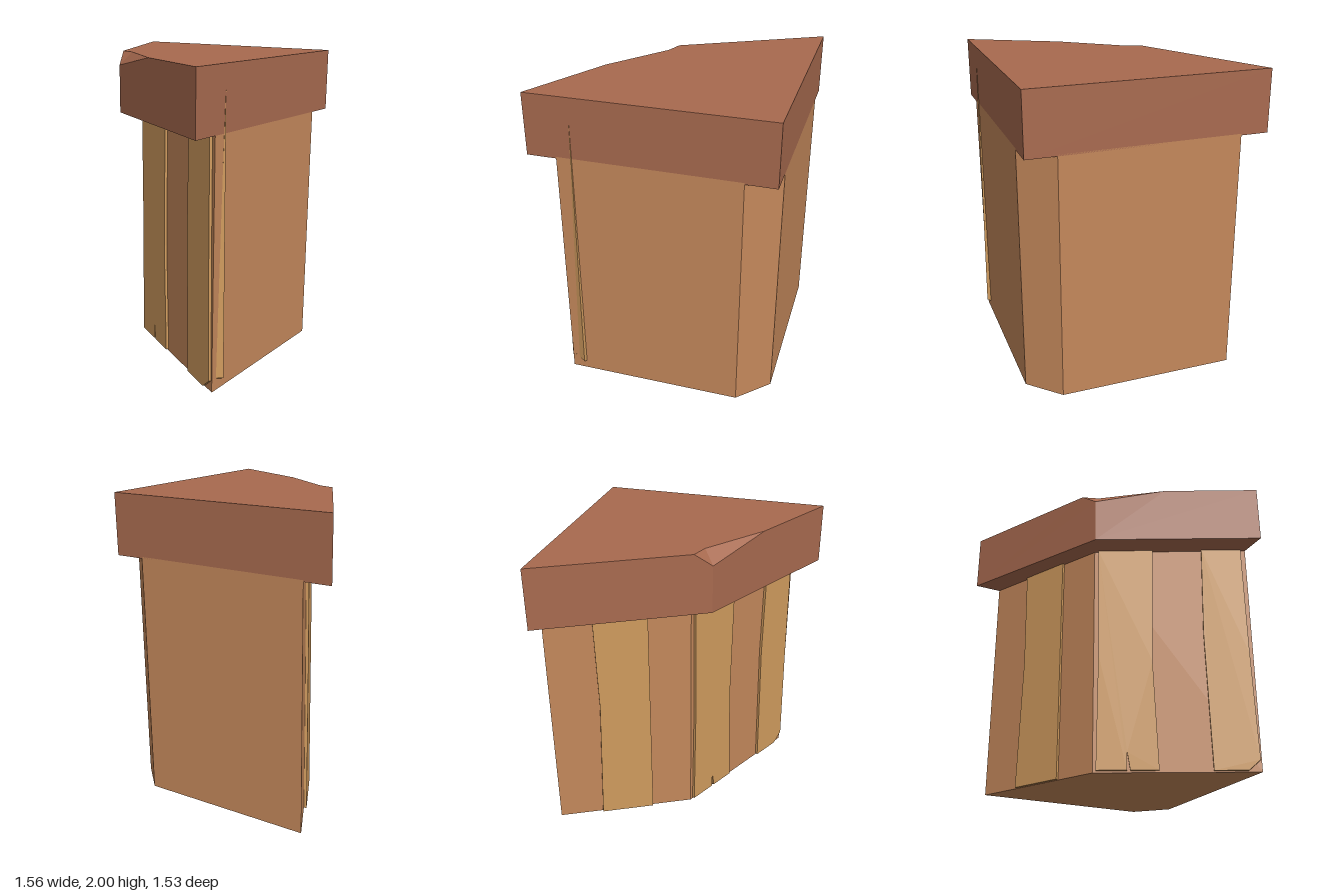
import * as THREE from 'three';
import { ConvexGeometry } from 'three/addons/geometries/ConvexGeometry.js';

const mat = (name, color) => {
  const m = new THREE.MeshStandardMaterial({ color });
  m.name = name;
  return m;
};

export function createModel() {
  const brown = mat('brownWood', 0xc4885b);
  const ochre = mat('ochreWood', 0xd09b5e);
  const red = mat('redWood', 0xa86a4f);
  const group = new THREE.Group();

  const add = (name, geometry, material) => {
    const mesh = new THREE.Mesh(geometry, material);
    mesh.name = name;
    group.add(mesh);
    return mesh;
  };
  const toShape = (pts) => new THREE.Shape(pts.map(([x, y]) => new THREE.Vector2(x, y)));

  // Post: plan outline as [x, z], raised to the cap
  const leftEnd = [-0.6, -0.77], corner = [-0.185, 0.08], rightEnd = [0.755, 0.575];
  const plan = [leftEnd, corner, rightEnd, [0.755, -0.575], [0.56, -0.77]];
  const post = new THREE.ExtrudeGeometry(toShape(plan.map(([x, z]) => [x, -z])),
    { depth: 1.61, bevelEnabled: false });
  post.rotateX(-Math.PI / 2);
  add('post', post, brown);

  // Boards: outlines as [x, y], laid on the slanted face running from a to b
  const proud = 0.018;
  const board = (name, a, b, outline) => {
    const angle = Math.atan2(b[1] - a[1], b[0] - a[0]);
    const along = (x) => (x - a[0] + Math.sin(angle) * proud) / Math.cos(angle);
    const g = new THREE.ExtrudeGeometry(toShape(outline.map(([x, y]) => [along(x), y])),
      { depth: proud + 0.02, bevelEnabled: false });
    g.translate(0, 0, -0.02);
    const mesh = add(name, g, ochre);
    mesh.rotation.y = -angle;
    mesh.position.set(a[0], 0, a[1]);
  };
  board('sideBoard', leftEnd, corner,
    [[-0.485, 0.003], [-0.325, 0.003], [-0.325, 1.605], [-0.48, 1.605], [-0.473, 0.9]]);
  board('middleBoard', corner, rightEnd, [
    [-0.175, 0.012], [-0.002, 0.012], [0, 0.13], [0.017, 0.012], [0.178, 0.012],
    [0.153, 0.75], [0.168, 1.605], [-0.17, 1.605], [-0.165, 0.8]]);
  board('outerBoard', corner, rightEnd, [
    [0.478, 0.008], [0.67, 0.008], [0.738, 0.075], [0.724, 0.8], [0.717, 1.605],
    [0.473, 1.605], [0.46, 0.95]]);

  // Splinter of wood standing out of the right side
  const splinter = [[0.745, 0.05, 0.475], [0.78, 0.07, 0.485], [0.75, 0.08, 0.54],
    [0.765, 0.9, 0.478], [0.75, 0.7, 0.507], [0.757, 1.85, 0.475], [0.745, 1.85, 0.475]];
  add('splinter', new ConvexGeometry(splinter.map((p) => new THREE.Vector3(...p))), ochre);

  // Cap: wedge-shaped slab with a chip out of its front corner
  const p = [
    [-0.78, 1.6, -0.77], [0.755, 1.6, -0.77], [0.755, 1.6, 0.765], [-0.255, 1.6, 0.235],
    [-0.78, 2, -0.77], [0.755, 2, -0.77], [0.755, 2, 0.765],
    [0.18, 2, 0.463], [-0.2, 2, 0.17], [-0.31, 2, 0.13], [-0.255, 1.915, 0.235]];
  const faces = [
    [5, 4, 9, 8, 7, 6], [0, 3, 10, 9, 4], [3, 2, 6, 7, 10], [2, 1, 5, 6],
    [1, 0, 4, 5], [0, 1, 2, 3], [10, 8, 9], [10, 7, 8]];
  const verts = [];
  for (const f of faces) {
    for (let i = 1; i < f.length - 1; i++) verts.push(...p[f[0]], ...p[f[i]], ...p[f[i + 1]]);
  }
  const cap = new THREE.BufferGeometry();
  cap.setAttribute('position', new THREE.Float32BufferAttribute(verts, 3));
  cap.computeVertexNormals();
  add('cap', cap, red);

  return group;
}
